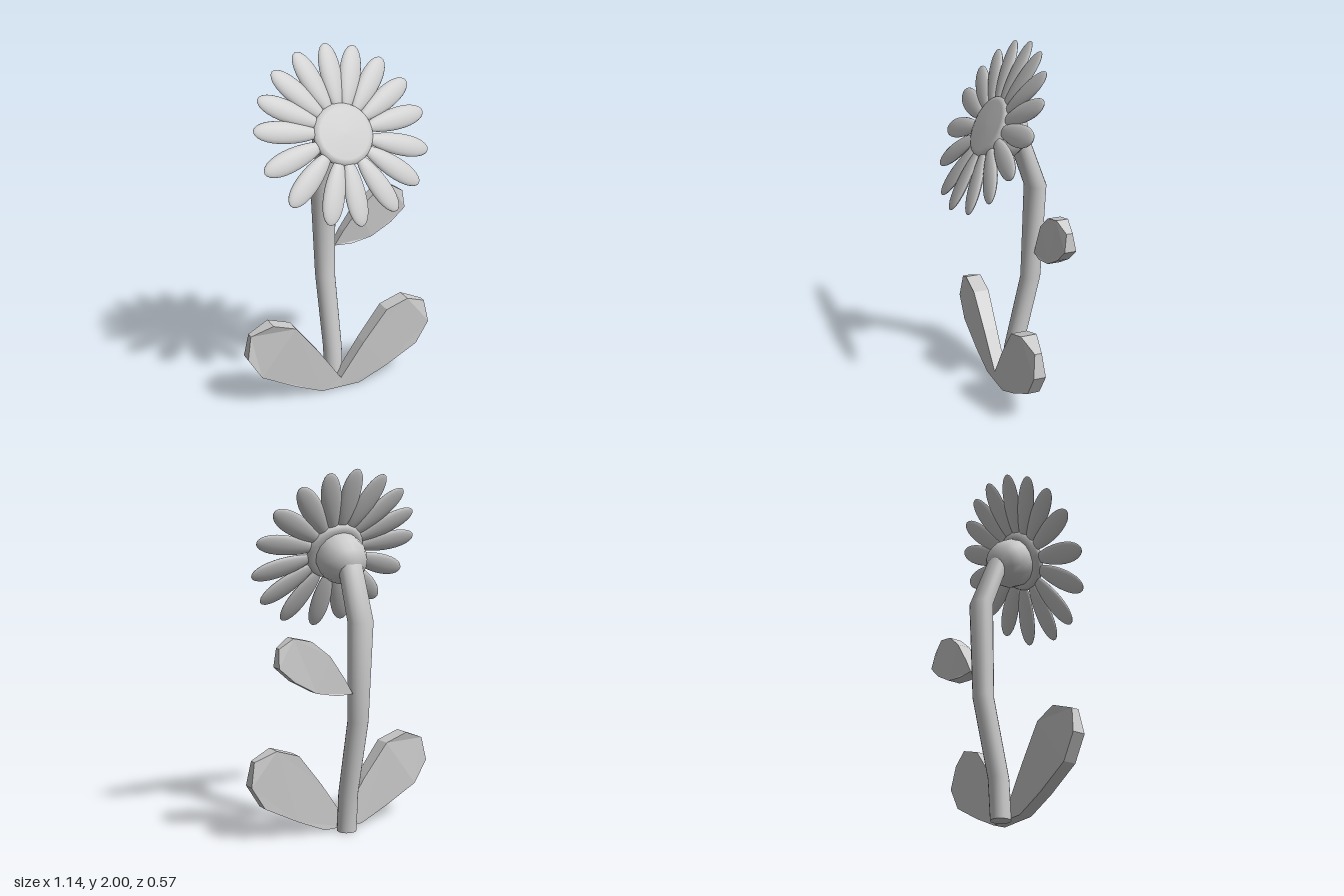
import * as THREE from 'three';

const material = new THREE.MeshStandardMaterial({ color: 0xcccccc });

function addMesh(parent, geometry, name) {
  const mesh = new THREE.Mesh(geometry, material);
  mesh.name = name;
  parent.add(mesh);
  return mesh;
}

// Faceted leaf: outline points are [x, y, front z, back z], counter-clockwise
function leafGeometry(points, mirror = 1) {
  const pts = points.map(([x, y, f, b]) => [x * mirror, y, f, b]);
  const shape = new THREE.Shape(pts.map(([x, y]) => new THREE.Vector2(x, y)));
  const geo = new THREE.ExtrudeGeometry(shape, { depth: 1, bevelEnabled: false });
  const pos = geo.attributes.position;
  for (let i = 0; i < pos.count; i++) {
    const p = pts.find(([x, y]) => Math.hypot(x - pos.getX(i), y - pos.getY(i)) < 1e-4);
    pos.setZ(i, pos.getZ(i) > 0.5 ? p[2] : p[3]);
  }
  geo.computeVertexNormals();
  return geo;
}

// Tube of horizontal ellipses: rings are [y, z, x radius, z radius]
function stemGeometry(rings, sides = 20) {
  const position = [], index = [];
  rings.forEach(([y, z, rx, rz], r) => {
    for (let s = 0; s < sides; s++) {
      const a = (s / sides) * Math.PI * 2;
      position.push(Math.sin(a) * rx, y, z + Math.cos(a) * rz);
      if (r === 0) continue;
      const n = (s + 1) % sides, lo = (r - 1) * sides, hi = r * sides;
      index.push(lo + s, lo + n, hi + n, lo + s, hi + n, hi + s);
    }
  });
  const geo = new THREE.BufferGeometry();
  geo.setAttribute('position', new THREE.Float32BufferAttribute(position, 3));
  geo.setIndex(index);
  geo.computeVertexNormals();
  return geo;
}

// Rounded petal along +y, narrower towards the flower centre
function petalGeometry() {
  const geo = new THREE.SphereGeometry(1, 16, 14);
  const pos = geo.attributes.position;
  for (let i = 0; i < pos.count; i++) {
    const y = pos.getY(i);
    const taper = 1 + 0.2 * y;
    pos.setXYZ(i, pos.getX(i) * 0.06 * taper, 0.315 + y * 0.185, pos.getZ(i) * 0.021);
  }
  geo.computeVertexNormals();
  return geo;
}

function lathe(profile, segments) {
  return new THREE.LatheGeometry(profile.map(([r, h]) => new THREE.Vector2(r, h)), segments);
}

export function createModel() {
  const model = new THREE.Group();
  model.name = 'flower';

  // Bent stem with a flat base
  addMesh(model, stemGeometry([
    [0, -0.085, 0.055, 0.055], [0.22, -0.1, 0.055, 0.056], [0.65, -0.2, 0.058, 0.057],
    [1.2, -0.222, 0.074, 0.061], [1.5, -0.112, 0.07, 0.057],
  ]), 'stem');
  const base = addMesh(model, new THREE.CircleGeometry(0.055, 20), 'stemBase');
  base.rotation.x = Math.PI / 2;
  base.position.z = -0.085;

  // Pair of leaves at the ground
  const lowLeaf = [
    [0, 0.01, 0.02, -0.05], [0.12, 0.01, 0.02, -0.05], [0.29, 0.085, 0.025, -0.045],
    [0.49, 0.19, 0.025, -0.045], [0.57, 0.32, 0.025, -0.045], [0.545, 0.455, 0.01, -0.03],
    [0.42, 0.505, 0.037, -0.055], [0.285, 0.46, 0.037, -0.055], [0.14, 0.275, 0.03, -0.05],
    [0, 0.07, 0.02, -0.05],
  ];
  addMesh(model, leafGeometry(lowLeaf), 'leftLowerLeaf');
  addMesh(model, leafGeometry([...lowLeaf].reverse(), -1), 'rightLowerLeaf');

  // Single leaf higher on the stem
  addMesh(model, leafGeometry([
    [0.06, 0.815, -0.195, -0.245], [0.16, 0.815, -0.18, -0.25], [0.285, 0.84, -0.175, -0.247],
    [0.41, 0.91, -0.172, -0.242], [0.5, 0.99, -0.172, -0.238], [0.49, 1.09, -0.185, -0.22],
    [0.41, 1.14, -0.163, -0.23], [0.305, 1.115, -0.163, -0.235], [0.2, 1.03, -0.167, -0.245],
    [0.11, 0.9, -0.185, -0.245],
  ]), 'upperLeaf');

  // Flower head, tilted upwards; local +z is the face
  const head = new THREE.Group();
  head.name = 'flowerHead';
  head.position.set(0, 1.56, 0.045);
  head.rotation.x = -0.49;
  model.add(head);

  // Slightly uneven ring of petals, degrees clockwise from the top
  const angles = [0, 19, 39, 60, 82, 107, 130, 154, 180, 201, 228, 253, 279, 299, 319, 339];
  const petal = petalGeometry();
  for (const a of angles) {
    addMesh(head, petal, 'petal').rotation.z = -THREE.MathUtils.degToRad(a);
  }

  // Flat seed disc
  const disc = addMesh(head, lathe([
    [0, -0.035], [0.14, -0.035], [0.165, -0.018], [0.172, 0], [0.165, 0.016], [0.14, 0.023], [0, 0.025],
  ], 32), 'seedDisc');
  disc.rotation.x = Math.PI / 2;

  // Rounded cup behind the petals
  const cup = addMesh(head, lathe([
    [0, -0.222], [0.06, -0.208], [0.112, -0.17], [0.136, -0.115], [0.138, -0.06], [0.13, -0.02],
  ], 16), 'flowerCup');
  cup.rotation.x = Math.PI / 2;

  return model;
}
